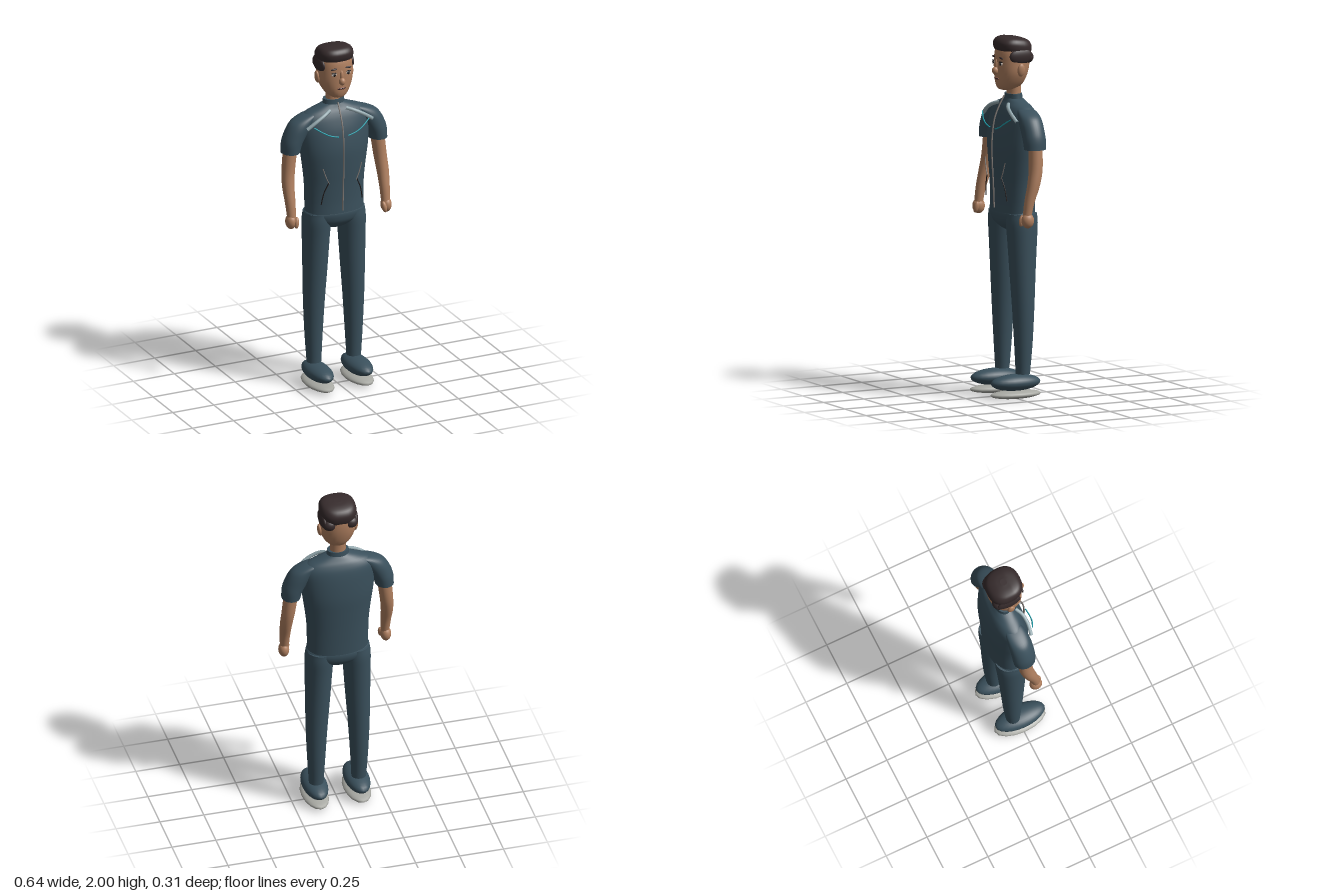
import * as THREE from 'three';

const mat = (name, color) => {
  const m = new THREE.MeshStandardMaterial({ color });
  m.name = name;
  return m;
};

// Smooth stack of horizontal superellipse rings; row = [y, x, z, rx, rz], rows go upward
function loft(rows, power = 2, n = 32, sub = 4) {
  const centre = new THREE.CatmullRomCurve3(rows.map(r => new THREE.Vector3(r[1], r[0], r[2])), false, 'catmullrom', 0.5);
  const size = new THREE.CatmullRomCurve3(rows.map(r => new THREE.Vector3(r[3], r[4], 0)), false, 'catmullrom', 0.5);
  const steps = (rows.length - 1) * sub, pos = [], idx = [];
  const bend = v => Math.sign(v) * Math.pow(Math.abs(v), 2 / power);
  const ring = i => {
    const c = centre.getPoint(i / steps), s = size.getPoint(i / steps);
    for (let j = 0; j < n; j++) {
      const a = j / n * Math.PI * 2;
      pos.push(c.x + bend(Math.cos(a)) * s.x, c.y, c.z + bend(Math.sin(a)) * s.y);
    }
    return c;
  };
  for (let i = 0; i <= steps; i++) ring(i);
  for (let i = 0; i < steps; i++) for (let j = 0; j < n; j++) {
    const a = i * n + j, b = i * n + (j + 1) % n;
    idx.push(a, a + n, b, b, a + n, b + n);
  }
  // end caps with their own vertices so the rims stay crisp
  for (const i of [0, steps]) {
    const start = pos.length / 3, c = ring(i), mid = start + n;
    pos.push(c.x, c.y, c.z);
    for (let j = 0; j < n; j++) {
      const a = start + j, b = start + (j + 1) % n;
      if (i) idx.push(mid, b, a); else idx.push(mid, a, b);
    }
  }
  const g = new THREE.BufferGeometry();
  g.setAttribute('position', new THREE.Float32BufferAttribute(pos, 3));
  g.setIndex(idx);
  g.computeVertexNormals();
  return g;
}

// Rows given as [y, half width, front z, back z], centred on x = 0
const body = rows => rows.map(([y, w, f, b]) => [y, 0, (f + b) / 2, w, (f - b) / 2]);

const ball = (rx, ry, rz, seg = 24, rings = 16) => new THREE.SphereGeometry(1, seg, rings).scale(rx, ry, rz);

const tube = (points, r) => new THREE.TubeGeometry(
  new THREE.CatmullRomCurve3(points.map(p => new THREE.Vector3(...p))), 28, r, 8);

export function createModel() {
  const model = new THREE.Group();
  const fabric = mat('fabric', 0x3a505c), skin = mat('skin', 0xb08060), hair = mat('hair', 0x362b2c);
  const stripe = mat('stripe', 0x93a8ae), cyan = mat('cyan', 0x1fa3b0), rubber = mat('rubber', 0xa9aaa4);
  const metal = mat('metal', 0x827c78), white = mat('eyeWhite', 0xd8d0c8), dark = mat('dark', 0x1f1a1a);
  const lip = mat('lip', 0x8a5548);
  const add = (name, geometry, material, x = 0, y = 0, z = 0, rz = 0, rx = 0) => {
    const m = new THREE.Mesh(geometry, material);
    m.name = name;
    m.position.set(x, y, z);
    m.rotation.set(rx, 0, rz);
    model.add(m);
    return m;
  };

  // Jacket, collar and seat of the trousers
  add('jacket', loft(body([
    [1.03, 0.172, 0.066, -0.142], [1.1, 0.172, 0.064, -0.144], [1.2, 0.175, 0.067, -0.148],
    [1.3, 0.186, 0.073, -0.153], [1.4, 0.2, 0.075, -0.157], [1.5, 0.208, 0.062, -0.15],
    [1.57, 0.208, 0.042, -0.138], [1.61, 0.175, 0.025, -0.122], [1.635, 0.115, 0.01, -0.105],
    [1.655, 0.062, 0, -0.09]]), 2.1, 40), fabric);
  add('collar', loft(body([
    [1.635, 0.066, 0.004, -0.094], [1.66, 0.063, 0, -0.091], [1.68, 0.061, -0.002, -0.089]])), fabric);
  add('trouserSeat', loft(body([
    [0.925, 0.035, 0, -0.075], [0.94, 0.085, 0.025, -0.105], [0.97, 0.155, 0.05, -0.13],
    [1.0, 0.178, 0.06, -0.14], [1.025, 0.179, 0.062, -0.14], [1.04, 0.166, 0.056, -0.134]]), 2.1), fabric);

  // Neck and head
  add('neck', loft(body([[1.64, 0.046, -0.004, -0.086], [1.7, 0.044, -0.008, -0.085],
    [1.78, 0.046, 0, -0.09]])), skin);
  add('head', loft(body([
    [1.703, 0.024, 0.03, -0.035], [1.713, 0.045, 0.048, -0.07], [1.745, 0.073, 0.058, -0.1],
    [1.8, 0.097, 0.06, -0.12], [1.86, 0.101, 0.06, -0.13], [1.92, 0.097, 0.053, -0.128],
    [1.96, 0.075, 0.03, -0.105], [1.98, 0.03, -0.01, -0.06]]), 2.15), skin);
  add('nose', ball(0.018, 0.022, 0.02), skin, 0, 1.812, 0.066);
  add('noseBridge', ball(0.011, 0.035, 0.012), skin, 0, 1.84, 0.058);
  add('mouth', ball(0.026, 0.007, 0.007), lip, 0, 1.767, 0.058);
  add('mouthLine', ball(0.024, 0.002, 0.004), dark, 0, 1.769, 0.063);

  // Hair cap, lower at the back than at the forehead
  const cap = loft(body([
    [1.925, 0.099, 0.053, -0.128], [1.945, 0.102, 0.06, -0.136], [1.968, 0.1, 0.06, -0.138],
    [1.988, 0.086, 0.045, -0.122], [1.997, 0.058, 0.02, -0.09], [2.0, 0.02, -0.02, -0.055]]), 2.5, 36);
  const p = cap.attributes.position;
  for (let i = 0; i < p.count; i++) {
    const back = Math.max(0, -p.getZ(i) - 0.01) / 0.13;
    p.setY(i, p.getY(i) - back * (0.015 + 0.3 * (2 - p.getY(i))));
  }
  cap.computeVertexNormals();
  add('hairCap', cap, hair);

  // Front zip
  add('zip', tube([[0, 1.67, 0.012], [0, 1.62, 0.04], [0, 1.55, 0.07], [0, 1.45, 0.086],
    [0, 1.35, 0.088], [0, 1.18, 0.079], [0, 1.05, 0.074]], 0.0045), metal);

  for (const s of [1, -1]) {
    const side = s > 0 ? 'left' : 'right';
    const put = (name, geometry, material, x, y, z, rz = 0, rx = 0) =>
      add(side + name, geometry, material, s * x, y, z, s * rz, rx);
    const limb = rows => loft(rows.map(([y, x, ...rest]) => [y, s * x, ...rest]));
    const cord = (points, r) => tube(points.map(([x, y, z]) => [s * x, y, z]), r);

    // Face and hair details
    put('Eye', ball(0.016, 0.009, 0.006), white, 0.042, 1.853, 0.053);
    put('Pupil', ball(0.008, 0.009, 0.004), dark, 0.042, 1.853, 0.058);
    put('Eyelid', ball(0.018, 0.003, 0.006), dark, 0.042, 1.863, 0.055);
    put('Brow', ball(0.02, 0.005, 0.006), hair, 0.043, 1.885, 0.053, -0.08);
    put('Ear', ball(0.013, 0.036, 0.022), skin, 0.102, 1.82, -0.04, -0.1);
    put('HairSide', ball(0.02, 0.045, 0.07), hair, 0.088, 1.895, -0.046);
    put('HairNape', ball(0.04, 0.035, 0.035), hair, 0.06, 1.885, -0.098);

    // Sleeve, arm and hand
    put('Sleeve', limb([
      [1.403, 0.266, -0.04, 0.052, 0.062], [1.45, 0.258, -0.04, 0.058, 0.065],
      [1.49, 0.242, -0.04, 0.065, 0.065], [1.54, 0.215, -0.041, 0.069, 0.065],
      [1.577, 0.187, -0.043, 0.067, 0.06], [1.603, 0.15, -0.046, 0.05, 0.05],
      [1.618, 0.12, -0.046, 0.025, 0.03]]), fabric, 0, 0, 0);
    put('Arm', limb([
      [1.04, 0.286, 0.02, 0.025, 0.024], [1.12, 0.287, 0.005, 0.029, 0.029],
      [1.21, 0.287, -0.02, 0.034, 0.036], [1.3, 0.279, -0.037, 0.037, 0.039],
      [1.43, 0.264, -0.042, 0.04, 0.039]]), skin, 0, 0, 0);
    put('Hand', ball(0.03, 0.043, 0.036), skin, 0.29, 1.015, 0.018);
    put('Thumb', ball(0.014, 0.032, 0.015), skin, 0.267, 1.012, 0.044, 0.15, -0.2);

    // Trouser leg
    put('Leg', limb([
      [0.135, 0.121, -0.04, 0.041, 0.039], [0.3, 0.122, -0.043, 0.05, 0.051],
      [0.5, 0.12, -0.043, 0.06, 0.062], [0.7, 0.114, -0.042, 0.069, 0.073],
      [0.88, 0.109, -0.042, 0.076, 0.084], [0.97, 0.105, -0.042, 0.08, 0.09],
      [1.025, 0.1, -0.042, 0.078, 0.088]]), fabric, 0, 0, 0);

    // Shoe
    put('Shoe', ball(0.069, 0.046, 0.149), fabric, 0.12, 0.09, 0.004);
    put('Sole', ball(0.073, 0.024, 0.154, 16, 10), rubber, 0.12, 0.024, 0.004);

    // Shoulder stripe, chest piping and pocket seams
    put('ShoulderStripe', cord([[0.05, 1.628, 0.012], [0.09, 1.614, 0.034],
      [0.14, 1.588, 0.042], [0.198, 1.548, 0.036]], 0.0105), stripe, 0, 0, 0);
    put('ChestPiping', cord([[0.168, 1.562, 0.058], [0.12, 1.53, 0.078],
      [0.08, 1.508, 0.084], [0.03, 1.492, 0.083]], 0.0035), cyan, 0, 0, 0);
    put('PocketSeamUpper', cord([[0.118, 1.315, 0.068], [0.1, 1.26, 0.072],
      [0.082, 1.22, 0.074]], 0.003), metal, 0, 0, 0);
    put('PocketSeamLower', cord([[0.085, 1.225, 0.073], [0.11, 1.17, 0.066],
      [0.125, 1.1, 0.06]], 0.003), dark, 0, 0, 0);
  }
  return model;
}
